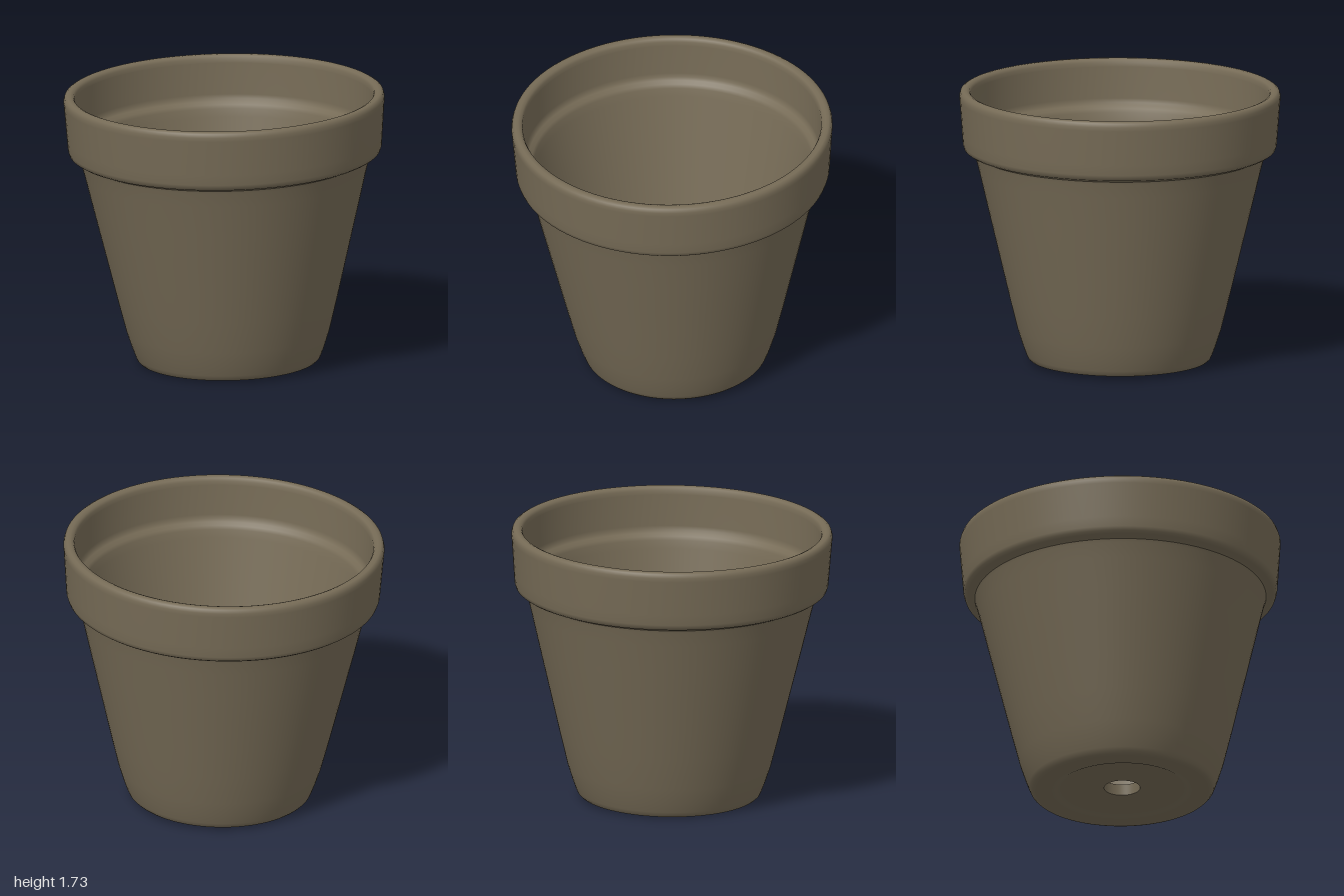
import * as THREE from 'three';

export function createModel() {
  const model = new THREE.Group();
  const pot = new THREE.Group();
  pot.name = 'flowerPot';
  const clay = new THREE.MeshStandardMaterial({ color: 0x766b56 });
  clay.name = 'brownClay';

  // Revolve a [radius, height] profile around the pot's axis
  const turn = (name, profile) => {
    const points = profile.map(([r, y]) => new THREE.Vector2(r, y));
    const mesh = new THREE.Mesh(new THREE.LatheGeometry(points, 96), clay);
    mesh.name = name;
    pot.add(mesh);
  };

  // Underside with a shallow recess inside the foot ring
  turn('underside', [
    [0.112, 0.018], [0.3, 0.018], [0.385, 0.016], [0.41, 0.004], [0.44, 0],
    [0.5, 0], [0.54, 0.001],
  ]);
  // Tapered outer wall, rounded at the foot
  turn('outerWall', [
    [0.54, 0.001], [0.557, 0.005], [0.57, 0.018], [0.58, 0.04], [0.602, 0.1], [0.634, 0.2],
    [0.684, 0.4], [0.732, 0.6], [0.78, 0.8], [0.828, 1.0], [0.875, 1.2],
    [0.898, 1.29], [0.905, 1.31],
  ]);
  // Thick collar with a soft lower edge and rounded lip
  turn('rim', [
    [0.905, 1.31], [0.92, 1.319], [0.95, 1.328], [0.967, 1.34], [0.975, 1.365], [0.98, 1.43],
    [0.996, 1.65], [0.997, 1.675], [0.99, 1.697], [0.975, 1.706],
    [0.955, 1.707], [0.937, 1.7], [0.928, 1.684], [0.926, 1.66],
  ]);
  // Inner wall: upright collar, small ledge, then taper to the floor
  turn('innerWall', [
    [0.926, 1.66], [0.916, 1.46], [0.912, 1.435], [0.9, 1.418], [0.878, 1.402], [0.866, 1.38],
    [0.855, 1.33], [0.775, 1.0], [0.655, 0.5], [0.575, 0.17], [0.56, 0.125], [0.535, 0.1],
  ]);
  // Floor
  turn('floor', [[0.535, 0.1], [0.5, 0.093], [0.3, 0.09], [0.112, 0.09]]);
  // Drain hole through the floor
  turn('drainHole', [[0.112, 0.09], [0.112, 0.018]]);

  // The pot leans very slightly
  pot.rotation.set(0.008, 0, 0.0165);
  pot.position.set(0.026, 0.012, -0.013);
  model.add(pot);
  return model;
}
